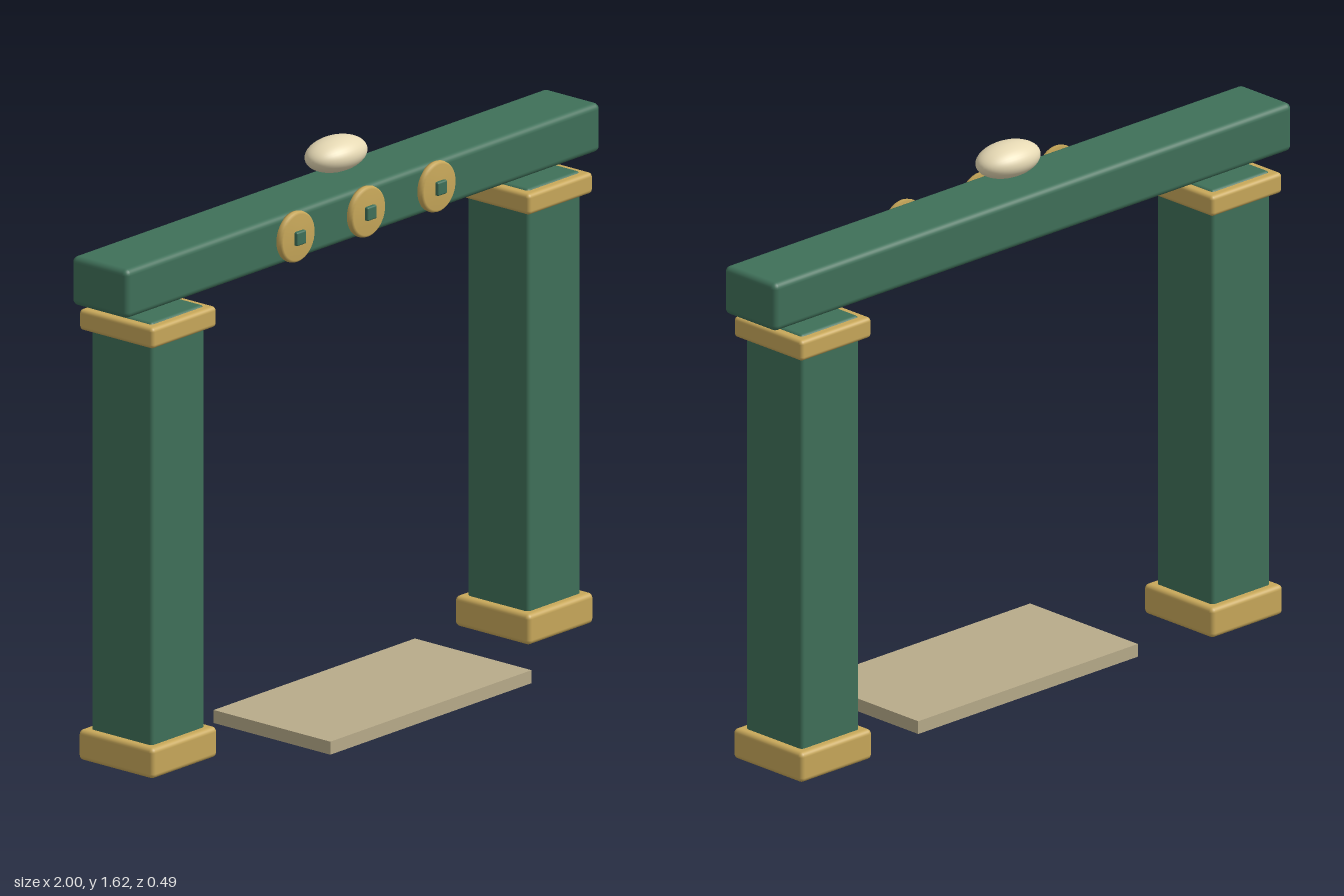
import * as THREE from 'three';
import { RoundedBoxGeometry } from 'three/addons/geometries/RoundedBoxGeometry.js';

const paint = (color) => new THREE.MeshStandardMaterial({ color });
const green = paint(0x3f7059);
const gold = paint(0xc8a85a);
const stone = paint(0xb8ab8a);
const cream = paint(0xe6d9b4);

const AXIS_Z = -0.105; // depth of the gate's centre line

function add(parent, name, geometry, material, x, y, z) {
  const mesh = new THREE.Mesh(geometry, material);
  mesh.name = name;
  mesh.position.set(x, y, z);
  parent.add(mesh);
  return mesh;
}

// Softly rounded box spanning y0..y1
function block(parent, name, material, w, y0, y1, d, x, z, r) {
  const geometry = new RoundedBoxGeometry(w, y1 - y0, d, 3, r);
  return add(parent, name, geometry, material, x, (y0 + y1) / 2, z);
}

export function createModel() {
  const model = new THREE.Group();
  model.name = 'gate';

  // Two pillars, each with a base and a capital
  for (const side of [-1, 1]) {
    const pillar = new THREE.Group();
    pillar.name = side > 0 ? 'leftPillar' : 'rightPillar';
    pillar.position.set(side * 0.793, 0, AXIS_Z);
    block(pillar, 'shaft', green, 0.225, 0.006, 1.326, 0.225, 0, 0, 0.012);
    block(pillar, 'base', gold, 0.276, 0.005, 0.094, 0.276, 0, 0, 0.014);
    block(pillar, 'capital', gold, 0.273, 1.26, 1.321, 0.273, 0, 0, 0.012);
    model.add(pillar);
  }

  // Cross beam
  block(model, 'beam', green, 2, 1.357, 1.5, 0.207, 0, AXIS_Z, 0.018);

  // Round medallions with a square stud on the beam's front
  const profile = [[0, -0.004], [0.072, -0.004], [0.074, 0.004], [0.072, 0.013], [0.066, 0.018], [0, 0.02]];
  const discGeometry = new THREE.LatheGeometry(profile.map(([r, h]) => new THREE.Vector2(r, h)), 40);
  discGeometry.rotateX(Math.PI / 2);
  for (const x of [-0.297, 0, 0.297]) {
    const medallion = new THREE.Group();
    medallion.name = 'medallion';
    medallion.position.set(x, 1.43, 0);
    add(medallion, 'disc', discGeometry, gold, 0, 0, 0);
    block(medallion, 'stud', green, 0.04, -0.02, 0.02, 0.024, 0, 0.018, 0.005);
    model.add(medallion);
  }

  // Flattened ornament above the beam, poles along x
  const ornament = new THREE.SphereGeometry(1, 40, 24);
  ornament.rotateZ(Math.PI / 2);
  ornament.scale(0.107, 0.049, 0.069);
  add(model, 'ornament', ornament, cream, 0, 1.576, AXIS_Z);

  // Threshold slab on the ground
  add(model, 'slab', new THREE.BoxGeometry(0.848, 0.038, 0.43), stone, 0, 0.019, 0.03);

  return model;
}
